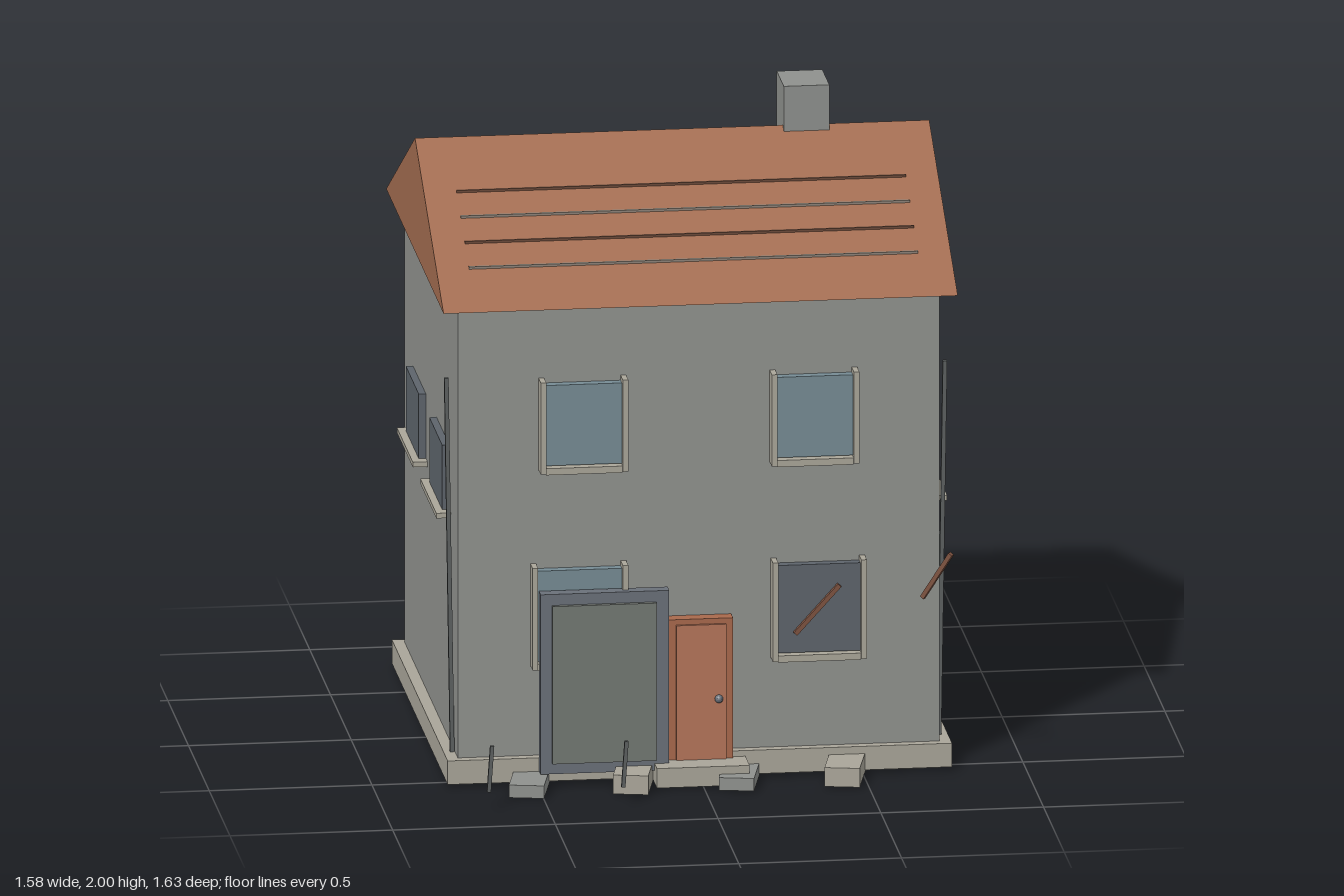
import * as THREE from 'three';

const mat = (color) => new THREE.MeshStandardMaterial({ color, flatShading: true });
const M = {
  wall: mat(0x90928e), stone: mat(0xa9a599), roof: mat(0xa26c50), batten: mat(0x6b4a3a),
  tile: mat(0x8d8378), door: mat(0xa8694c), panel: mat(0xb5755a), trim: mat(0xaaa699),
  paleGlass: mat(0x768b94), blueGlass: mat(0x455d6c), darkGlass: mat(0x5d646b),
  slab: mat(0x6a7079), slabFace: mat(0x737873), wood: mat(0x7d5240), pipe: mat(0x5c6060),
  chimney: mat(0x8e908d),
};

export function createModel() {
  const house = new THREE.Group();
  house.name = 'house';

  const add = (name, geometry, material, parent = house) => {
    const mesh = new THREE.Mesh(geometry, material);
    mesh.name = name;
    parent.add(mesh);
    return mesh;
  };
  // Box given by its minimum and maximum on each axis
  const box = (name, material, x0, x1, y0, y1, z0, z1, parent) => {
    const mesh = add(name, new THREE.BoxGeometry(x1 - x0, y1 - y0, z1 - z0), material, parent);
    mesh.position.set((x0 + x1) / 2, (y0 + y1) / 2, (z0 + z1) / 2);
    return mesh;
  };
  // Thin square bar between two points
  const bar = (name, material, a, b, thickness) => {
    const from = new THREE.Vector3(...a), to = new THREE.Vector3(...b);
    const mesh = add(name, new THREE.BoxGeometry(thickness, thickness, from.distanceTo(to)), material);
    mesh.position.copy(from).add(to).multiplyScalar(0.5);
    mesh.lookAt(to);
    return mesh;
  };

  // Walls and plinth
  box('walls', M.wall, -0.74, 0.74, 0, 1.515, -0.755, 0.53);
  box('plinth', M.stone, -0.775, 0.775, 0.01, 0.085, -0.785, 0.56);

  // Gable roof: triangle in z and y, extruded along x
  const eaveY = 1.51, ridgeY = 1.87, ridgeZ = -0.11, frontZ = 0.58, backZ = -0.805;
  const gable = new THREE.Shape();
  gable.moveTo(-frontZ, eaveY);
  gable.lineTo(-backZ, eaveY);
  gable.lineTo(-ridgeZ, ridgeY);
  gable.closePath();
  const roofGeometry = new THREE.ExtrudeGeometry(gable, { depth: 1.58, bevelEnabled: false });
  roofGeometry.translate(0, 0, -0.79).rotateY(Math.PI / 2);
  add('roof', roofGeometry, M.roof);

  // Battens lying on both slopes
  const battens = [0.405, 0.305, 0.205, 0.105, -0.345, -0.44, -0.54, -0.635];
  battens.forEach((z, i) => {
    const edge = z > ridgeZ ? frontZ : backZ;
    const y = eaveY + (ridgeY - eaveY) * (edge - z) / (edge - ridgeZ);
    const batten = add('roofBatten', new THREE.BoxGeometry(1.38, 0.01, 0.01), i % 2 ? M.batten : M.tile);
    batten.position.set(0, y, z);
  });
  box('chimney', M.chimney, 0.34, 0.48, 1.7, 2, -0.255, -0.085);

  // Front windows: pane, two jambs and a sill
  const frontWindow = (x0, x1, y0, y1, glass) => {
    const group = new THREE.Group();
    group.name = 'frontWindow';
    house.add(group);
    box('pane', glass, x0, x1, y0, y1, 0.52, 0.56, group);
    box('jamb', M.trim, x0 - 0.017, x0, y0 - 0.02, y1 + 0.016, 0.53, 0.585, group);
    box('jamb', M.trim, x1, x1 + 0.017, y0 - 0.02, y1 + 0.016, 0.53, 0.585, group);
    box('sill', M.trim, x0, x1, y0 - 0.024, y0 - 0.003, 0.53, 0.58, group);
  };
  frontWindow(-0.475, -0.24, 1.01, 1.265, M.paleGlass);
  frontWindow(0.235, 0.47, 1.01, 1.265, M.paleGlass);
  frontWindow(-0.5, -0.24, 0.39, 0.677, M.paleGlass);
  frontWindow(0.238, 0.493, 0.39, 0.668, M.darkGlass);

  // Side windows with projecting sills, and a leaning downpipe on each side
  for (const s of [-1, 1]) {
    for (const z of [0.172, -0.395]) {
      const pane = add('sideWindow', new THREE.BoxGeometry(0.04, 0.205, 0.31), s > 0 ? M.blueGlass : M.darkGlass);
      pane.position.set(s * 0.742, 0.917, z);
      const sill = add('sideSill', new THREE.BoxGeometry(0.06, 0.016, 0.385), M.trim);
      sill.position.set(s * 0.755, 0.807, z);
    }
    bar('downpipe', M.pipe, [s * 0.748, 0.085, 0.455], [s * 0.766, 1.27, 0.455], 0.013);
  }

  // Back windows and back door
  [[0.335, M.paleGlass], [-0.34, M.blueGlass]].forEach(([x, glass]) => {
    box('backWindow', glass, x - 0.118, x + 0.118, 0.685, 0.94, -0.798, -0.75);
    box('backSill', M.trim, x - 0.134, x + 0.134, 0.667, 0.685, -0.813, -0.75);
  });
  box('backDoor', M.door, 0.35, 0.535, 0.045, 0.475, -0.8, -0.75);

  // Front door with raised panel, knob and step
  box('frontDoor', M.door, -0.1, 0.1, 0.065, 0.512, 0.52, 0.575);
  box('doorPanel', M.panel, -0.075, 0.078, 0.068, 0.495, 0.57, 0.584);
  add('doorKnob', new THREE.SphereGeometry(0.013, 12, 8), M.slab).position.set(0.055, 0.26, 0.588);
  box('doorStep', M.stone, -0.145, 0.14, 0.005, 0.067, 0.5, 0.662);

  // Large loose panel standing against the wall
  box('loosePanelFrame', M.slab, -0.495, -0.1, 0.045, 0.615, 0.565, 0.606);
  box('loosePanelFace', M.slabFace, -0.46, -0.14, 0.08, 0.58, 0.6, 0.62);

  // Stone blocks scattered along the plinth
  [-0.53, -0.21, 0.115, 0.44].forEach((x, i) => {
    const h = i % 2 ? 0.06 : 0.04;
    const block = add('stoneBlock', new THREE.BoxGeometry(0.108, h, 0.2), i % 2 ? M.stone : M.chimney);
    block.position.set(x, h / 2 + 0.002, 0.612);
    block.rotation.y = -0.22;
  });

  // Broken planks and small stakes
  bar('brokenPlank', M.wood, [0.292, 0.452, 0.567], [0.428, 0.602, 0.567], 0.014);
  bar('brokenPlank', M.wood, [0.682, 0.557, 0.58], [0.762, 0.708, 0.638], 0.014);
  for (const x of [-0.675, -0.262]) {
    bar('stake', M.pipe, [x - 0.005, 0.055, 0.808], [x + 0.005, 0.2, 0.808], 0.012);
  }
  return house;
}
